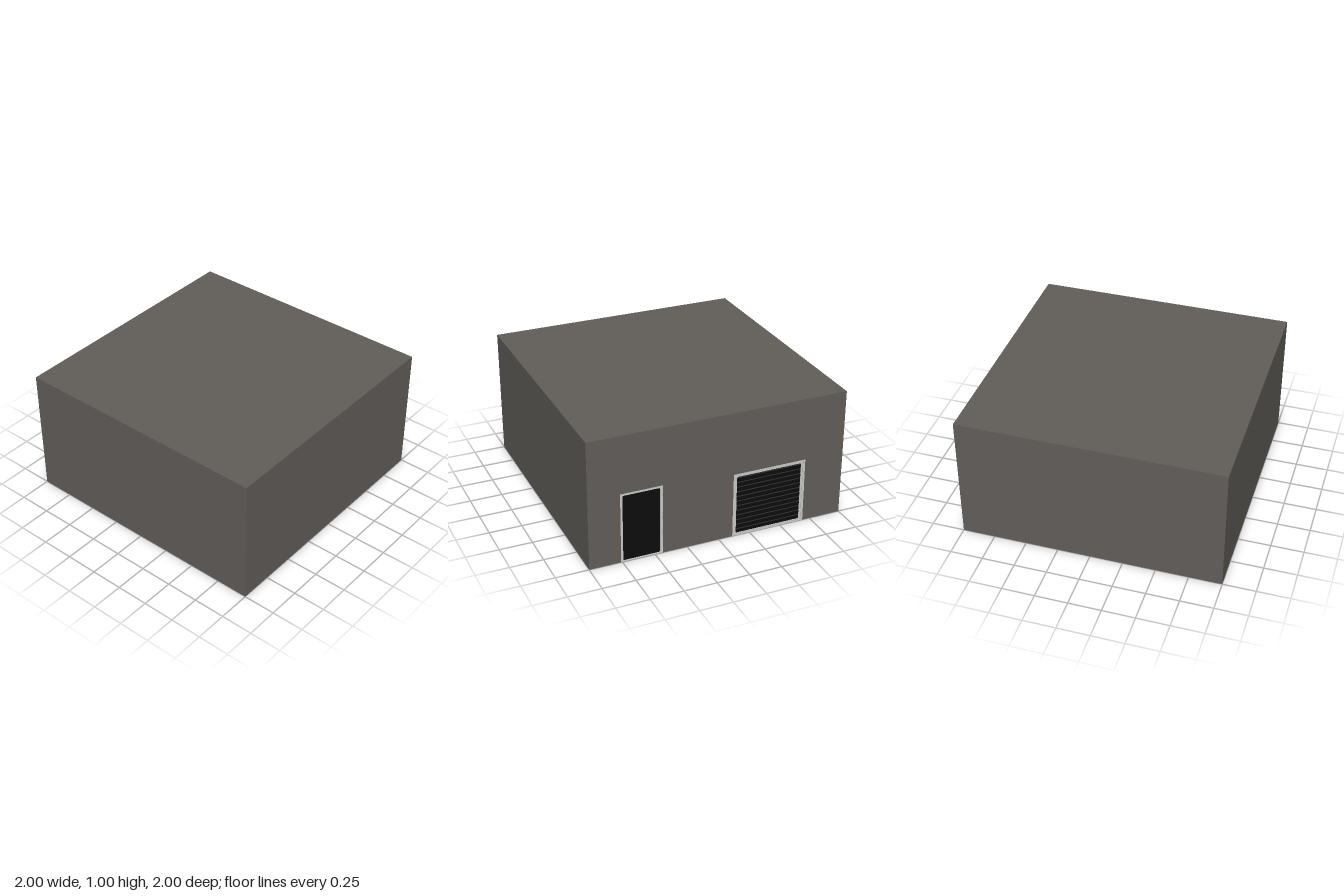
import * as THREE from 'three';

const wallMat = new THREE.MeshStandardMaterial({ name: 'warm grey wall', color: 0x625e5a, side: THREE.DoubleSide });
const frameMat = new THREE.MeshStandardMaterial({ name: 'pale grey frame', color: 0xc8cbc7 });
const panelMat = new THREE.MeshStandardMaterial({ name: 'black panel', color: 0x0c0c0c });

// Openings in the right wall; u runs along the wall from front to back (u = -z)
const DOOR = { u0: -0.76, u1: -0.44, top: 0.55 };
const GARAGE = { u0: 0.11, u1: 0.69, top: 0.51 };

function add(parent, name, geometry, material) {
  const mesh = new THREE.Mesh(geometry, material);
  mesh.name = name;
  parent.add(mesh);
  return mesh;
}

// Rectangle with softened corners, traced on a Shape or Path
function trace(path, u0, u1, y0, y1, r = 0) {
  path.moveTo(u0 + r, y0);
  path.lineTo(u1 - r, y0);
  path.quadraticCurveTo(u1, y0, u1, y0 + r);
  path.lineTo(u1, y1 - r);
  path.quadraticCurveTo(u1, y1, u1 - r, y1);
  path.lineTo(u0 + r, y1);
  path.quadraticCurveTo(u0, y1, u0, y1 - r);
  path.lineTo(u0, y0 + r);
  path.quadraticCurveTo(u0, y0, u0 + r, y0);
  return path;
}

// Extrude a (u, y) shape so that its outer face lies at x = front
function slab(shape, front, depth) {
  return new THREE.ExtrudeGeometry(shape, { depth, bevelEnabled: false, curveSegments: 4 })
    .rotateY(Math.PI / 2).translate(front - depth, 0, 0);
}

// Ring of constant depth: outer rectangle minus inner rectangle
function ring(outer, inner, front, depth) {
  const shape = trace(new THREE.Shape(), ...outer);
  shape.holes.push(trace(new THREE.Path(), ...inner));
  return slab(shape, front, depth);
}

function buildShell() {
  const shell = new THREE.Group();
  shell.name = 'buildingShell';
  add(shell, 'roof', new THREE.PlaneGeometry(2, 2).rotateX(-Math.PI / 2).translate(0, 1, 0), wallMat);
  add(shell, 'frontWall', new THREE.PlaneGeometry(2, 1).translate(0, 0.5, 1), wallMat);
  add(shell, 'backWall', new THREE.PlaneGeometry(2, 1).rotateY(Math.PI).translate(0, 0.5, -1), wallMat);
  add(shell, 'leftWall', new THREE.PlaneGeometry(2, 1).rotateY(-Math.PI / 2).translate(-1, 0.5, 0), wallMat);

  // Right wall with a notch for each opening
  const outline = new THREE.Shape();
  outline.moveTo(-1, 0);
  for (const o of [DOOR, GARAGE]) {
    outline.lineTo(o.u0, 0);
    outline.lineTo(o.u0, o.top);
    outline.lineTo(o.u1, o.top);
    outline.lineTo(o.u1, 0);
  }
  outline.lineTo(1, 0);
  outline.lineTo(1, 1);
  outline.lineTo(-1, 1);
  add(shell, 'rightWall', new THREE.ShapeGeometry(outline).rotateY(Math.PI / 2).translate(1, 0, 0), wallMat);
  return shell;
}

function buildDoor() {
  const door = new THREE.Group();
  door.name = 'entryDoor';
  const { u0, u1, top } = DOOR;
  const opening = [u0 + 0.018, u1 - 0.018, 0.005, top - 0.018, 0.012];
  add(door, 'doorFrame', ring([u0, u1, 0, top], opening, 0.997, 0.02), frameMat);
  add(door, 'doorLeaf', slab(trace(new THREE.Shape(), ...opening), 0.988, 0.008), panelMat);
  return door;
}

function buildGarage() {
  const garage = new THREE.Group();
  garage.name = 'garageDoor';
  const { u0, u1, top } = GARAGE;
  const step = [u0 + 0.016, u1 - 0.016, 0.002, top - 0.012];
  const opening = [u0 + 0.03, u1 - 0.032, 0.018, top - 0.028, 0.012];
  add(garage, 'outerFrame', ring([u0, u1, 0, top], step, 0.998, 0.02), frameMat);
  add(garage, 'innerFrame', ring(step, opening, 0.994, 0.016), frameMat);

  // Shutter: a sawtooth profile of slats run along the opening
  const slats = 12;
  const [a, b, y0, y1] = opening;
  const pitch = (y1 - y0) / slats;
  const profile = new THREE.Shape();
  profile.moveTo(0.98, y0);
  for (let i = 0; i < slats; i++) {
    profile.lineTo(0.992, y0 + i * pitch);
    profile.lineTo(0.992, y0 + (i + 0.7) * pitch);
    profile.lineTo(0.988, y0 + (i + 0.85) * pitch);
  }
  profile.lineTo(0.988, y1);
  profile.lineTo(0.98, y1);
  const shutter = new THREE.ExtrudeGeometry(profile, { depth: b - a, bevelEnabled: false });
  add(garage, 'shutterSlats', shutter.translate(0, 0, -b), panelMat);
  return garage;
}

export function createModel() {
  const model = new THREE.Group();
  model.name = 'garageBuilding';
  model.add(buildShell(), buildDoor(), buildGarage());
  return model;
}
